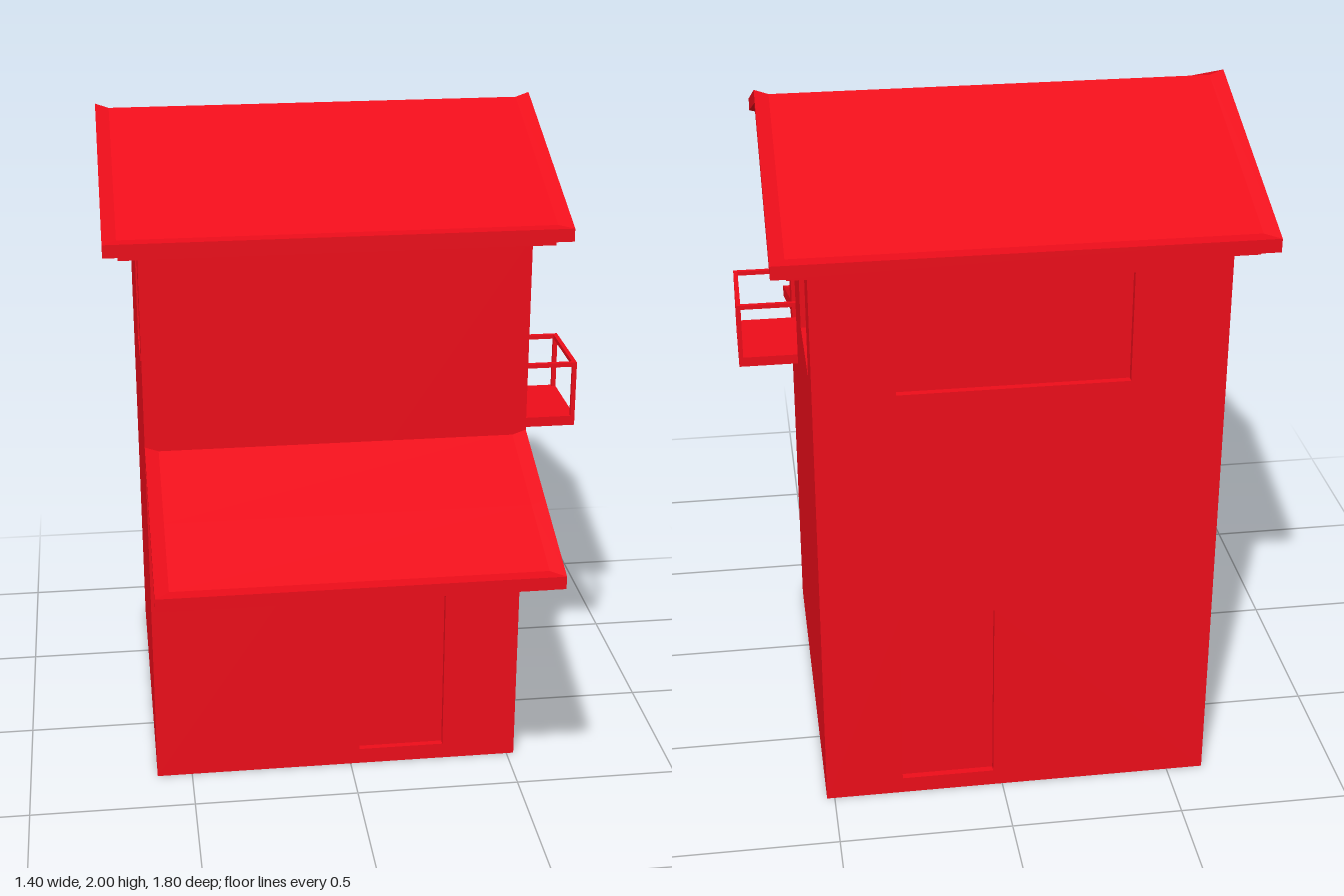
import * as THREE from 'three';

const red = new THREE.MeshStandardMaterial({ color: 0xee0d1a });
const HALF = 0.565;   // half width of the square house
const RECESS = 0.02;  // depth of door and window openings

function add(parent, name, geometry, x = 0, y = 0, z = 0) {
  const mesh = new THREE.Mesh(geometry, red);
  mesh.name = name;
  mesh.position.set(x, y, z);
  parent.add(mesh);
  return mesh;
}

// Box given by its minimum and maximum corners
function box(parent, name, [x0, y0, z0], [x1, y1, z1]) {
  return add(parent, name, new THREE.BoxGeometry(x1 - x0, y1 - y0, z1 - z0),
    (x0 + x1) / 2, (y0 + y1) / 2, (z0 + z1) / 2);
}

// Roof slab edge profile: [inset, drop], raised rim on top, stepped trim below
const EDGE = [[0.04, -0.014], [0, 0], [0, -0.038], [0.042, -0.052], [0.042, -0.075], [0.095, -0.085]];

// Slab that follows height(z), with the stepped edge lofted around its plan
function roofSlab(halfX, zFront, zMid, zBack, backInset, height) {
  const rings = EDGE.map(([inset, drop]) => {
    const x = halfX - inset, f = zFront - inset, b = zBack + inset * backInset;
    return [[-x, f], [x, f], [x, zMid], [x, b], [-x, b], [-x, zMid]]
      .map(([px, pz]) => [px, height(pz) + drop, pz]);
  });
  const pos = [];
  const quad = (a, b, c, d) => pos.push(...a, ...b, ...c, ...a, ...c, ...d);
  for (let r = 0; r < rings.length - 1; r++) {
    const up = rings[r], low = rings[r + 1];
    for (let i = 0; i < 6; i++) {
      const j = (i + 1) % 6;
      quad(low[i], low[j], up[j], up[i]);
    }
  }
  const t = rings[0], u = rings[rings.length - 1];
  quad(t[0], t[1], t[2], t[5]);
  quad(t[5], t[2], t[3], t[4]);
  quad(u[5], u[2], u[1], u[0]);
  quad(u[4], u[3], u[2], u[5]);
  const g = new THREE.BufferGeometry();
  g.setAttribute('position', new THREE.Float32BufferAttribute(pos, 3));
  g.computeVertexNormals();
  return g;
}

const roofHeight = z => 2 - 0.37 * Math.abs(z);
const wallTop = z => roofHeight(z) - 0.083;

// Wall outline, square or gabled
function wallShape(half, gabled) {
  const eave = wallTop(HALF);
  const pts = [[-half, 0], [half, 0], [half, gabled ? wallTop(half) : eave]];
  if (gabled) pts.push([0, wallTop(0)]);
  pts.push([-half, gabled ? wallTop(half) : eave]);
  return new THREE.Shape(pts.map(p => new THREE.Vector2(...p)));
}

// Thin outer wall with openings [u0, u1, y0, y1], turned to face its side
function wall(parent, name, half, gabled, angle, openings) {
  const shape = wallShape(half, gabled);
  for (const [u0, u1, y0, y1] of openings) {
    shape.holes.push(new THREE.Path([[u0, y0], [u0, y1], [u1, y1], [u1, y0]]
      .map(p => new THREE.Vector2(...p))));
  }
  const g = new THREE.ExtrudeGeometry(shape, { depth: RECESS, bevelEnabled: false });
  g.translate(0, 0, HALF - RECESS);
  g.rotateY(angle);
  return add(parent, name, g);
}

export function createModel() {
  const house = new THREE.Group();
  house.name = 'house';
  house.position.set(-0.0425, 0, -0.2375);

  // Inner core closes the back of every opening
  const inner = HALF - RECESS;
  const core = new THREE.ExtrudeGeometry(wallShape(inner, true), { depth: inner * 2, bevelEnabled: false });
  core.translate(0, 0, -inner);
  core.rotateY(Math.PI / 2);
  add(house, 'innerCore', core);

  // Walls with recessed doors and windows
  const doorY = [0.05, 0.615], windowY = [1.32, 1.64];
  wall(house, 'frontWall', HALF, false, 0, [[0.07, 0.335, ...doorY]]);
  wall(house, 'backWall', HALF, false, Math.PI, [[-0.34, -0.07, ...doorY], [-0.34, 0.3, ...windowY]]);
  wall(house, 'leftWall', inner, true, Math.PI / 2, [[-0.445, -0.175, 1.1, 1.64], [0.105, 0.42, ...windowY]]);
  wall(house, 'rightWall', inner, true, -Math.PI / 2, [[0.18, 0.45, ...windowY]]);

  // Gable roof and front awning
  add(house, 'roof', roofSlab(0.6625, 0.6625, 0, -0.6625, 1, roofHeight));
  add(house, 'awning', roofSlab(HALF, 1.1375, 0.85, 0.555, 0,
    z => 1.11 - 0.36 * (z - 0.5675)));

  // Diagonal awning braces
  const from = new THREE.Vector2(0.555, 0.615), to = new THREE.Vector2(0.795, 0.985);
  const run = to.clone().sub(from);
  for (const x of [-0.397, 0.422]) {
    const brace = add(house, 'awningBrace', new THREE.BoxGeometry(0.062, run.length(), 0.018),
      x, (from.y + to.y) / 2, (from.x + to.x) / 2);
    brace.rotation.x = Math.atan2(run.x, run.y);
  }

  // Balcony: floor, corner posts and top rails
  const balcony = new THREE.Group();
  balcony.name = 'balcony';
  house.add(balcony);
  const x0 = HALF - 0.005, x1 = 0.7425, z0 = 0.175, z1 = 0.445, y0 = 1.07, y1 = 1.272, t = 0.013;
  box(balcony, 'balconyFloor', [x0, y0, z0], [x1, 1.1, z1]);
  for (const z of [z0, z1 - t]) {
    box(balcony, 'balconyPost', [x1 - t, 1.1, z], [x1, y1, z + t]);
    box(balcony, 'balconySideRail', [x0, y1 - t, z], [x1 - t, y1, z + t]);
  }
  box(balcony, 'balconyFrontRail', [x1 - t, y1 - t, z0 + t], [x1, y1, z1 - t]);

  const model = new THREE.Group();
  model.name = 'model';
  model.add(house);
  return model;
}
